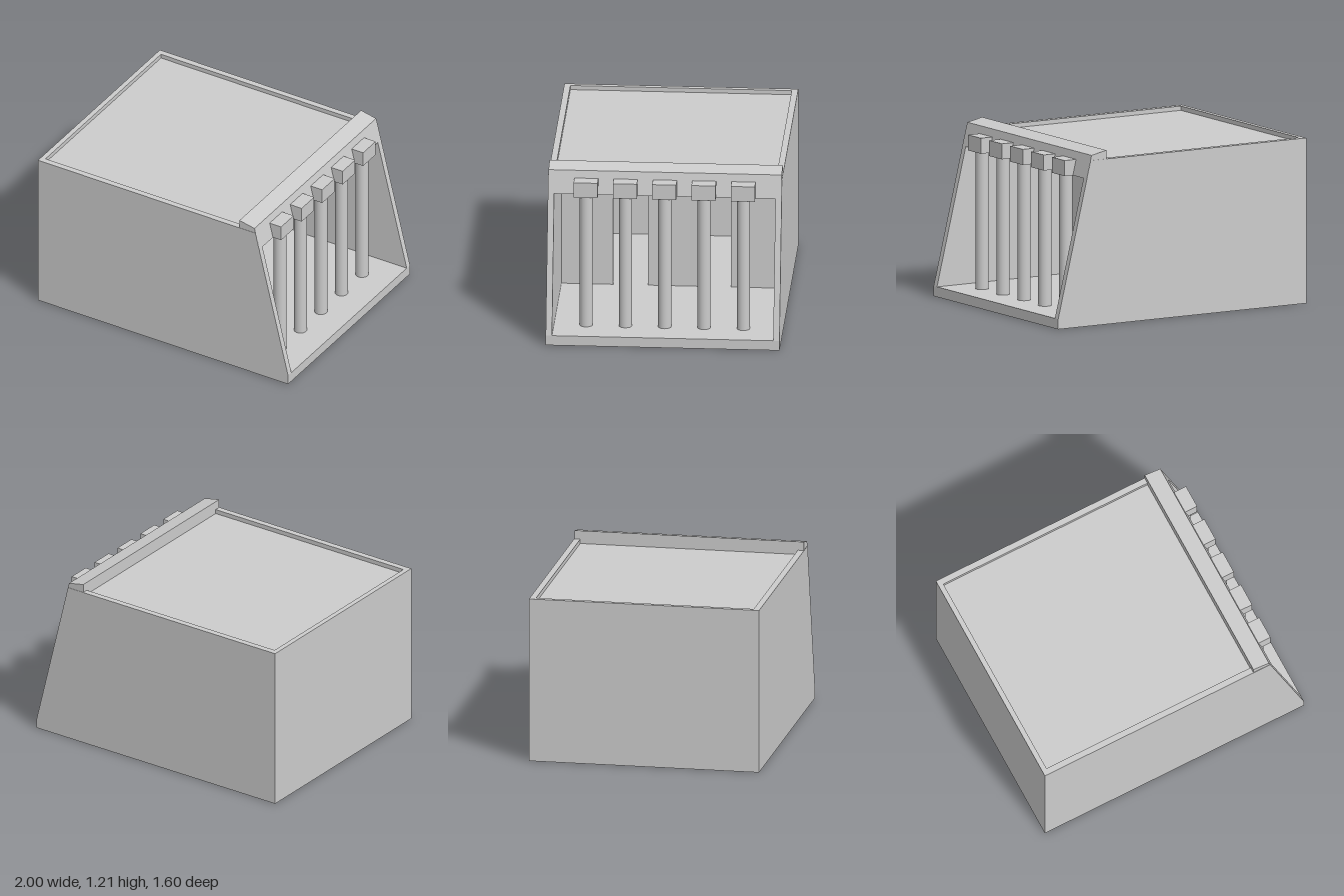
import * as THREE from 'three';

const material = new THREE.MeshStandardMaterial({ color: 0xcccccc, flatShading: true });
const smooth = new THREE.MeshStandardMaterial({ color: 0xcccccc });

export function createModel() {
  const model = new THREE.Group();
  model.name = 'porticoBuilding';

  const add = (name, geometry, mat = material) => {
    const mesh = new THREE.Mesh(geometry, mat);
    mesh.name = name;
    model.add(mesh);
    return mesh;
  };

  // Box given by its minimum and maximum corners
  const block = (name, x0, x1, y0, y1, z0, z1) =>
    add(name, new THREE.BoxGeometry(x1 - x0, y1 - y0, z1 - z0))
      .position.set((x0 + x1) / 2, (y0 + y1) / 2, (z0 + z1) / 2);

  // Side profile in x and y, extruded from z0 to z1
  const slab = (name, points, z0, z1) => {
    const shape = new THREE.Shape(points.map(([x, y]) => new THREE.Vector2(x, y)));
    const geometry = new THREE.ExtrudeGeometry(shape, { depth: z1 - z0, bevelEnabled: false });
    add(name, geometry.translate(0, 0, z0));
  };

  const W = 0.8, inner = 0.757, floorY = 0.07, ceilingY = 1.02, rimY = 1.145;

  // Shell: floor, rear wall, and side walls with a leaning open edge
  block('floor', -1, 1, 0, floorY, -W, W);
  block('rearWall', -1, -0.965, floorY, rimY, -W, W);
  const wall = [[-1, 0], [1, 0], [1, floorY], [0.738, rimY], [-1, rimY]];
  slab('leftSideWall', wall, inner, W);
  slab('rightSideWall', wall, -W, -inner);

  // Roof sunk just below the rim, and the raised beam over the opening
  block('roof', -0.965, 0.62, ceilingY, 1.115, -inner, inner);
  slab('lintel', [[0.61, ceilingY], [0.769, ceilingY], [0.73, 1.18], [0.61, 1.205]], -0.798, 0.798);

  // Inner wall in three pieces, leaving two full-height doorways
  for (const [z0, z1] of [[-inner, -0.404], [-0.197, 0.165], [0.402, inner]]) {
    block('innerWall', -0.045, 0, floorY, ceilingY, z0, z1);
  }

  // Row of round columns with square capitals
  for (let i = -2; i <= 2; i++) {
    const z = i * 0.269;
    const height = ceilingY - floorY;
    add('column', new THREE.CylinderGeometry(0.045, 0.045, height, 32), smooth)
      .position.set(0.775, floorY + height / 2, z);
    block('capital', 0.69, 0.835, ceilingY, 1.128, z - 0.082, z + 0.082);
  }

  return model;
}
